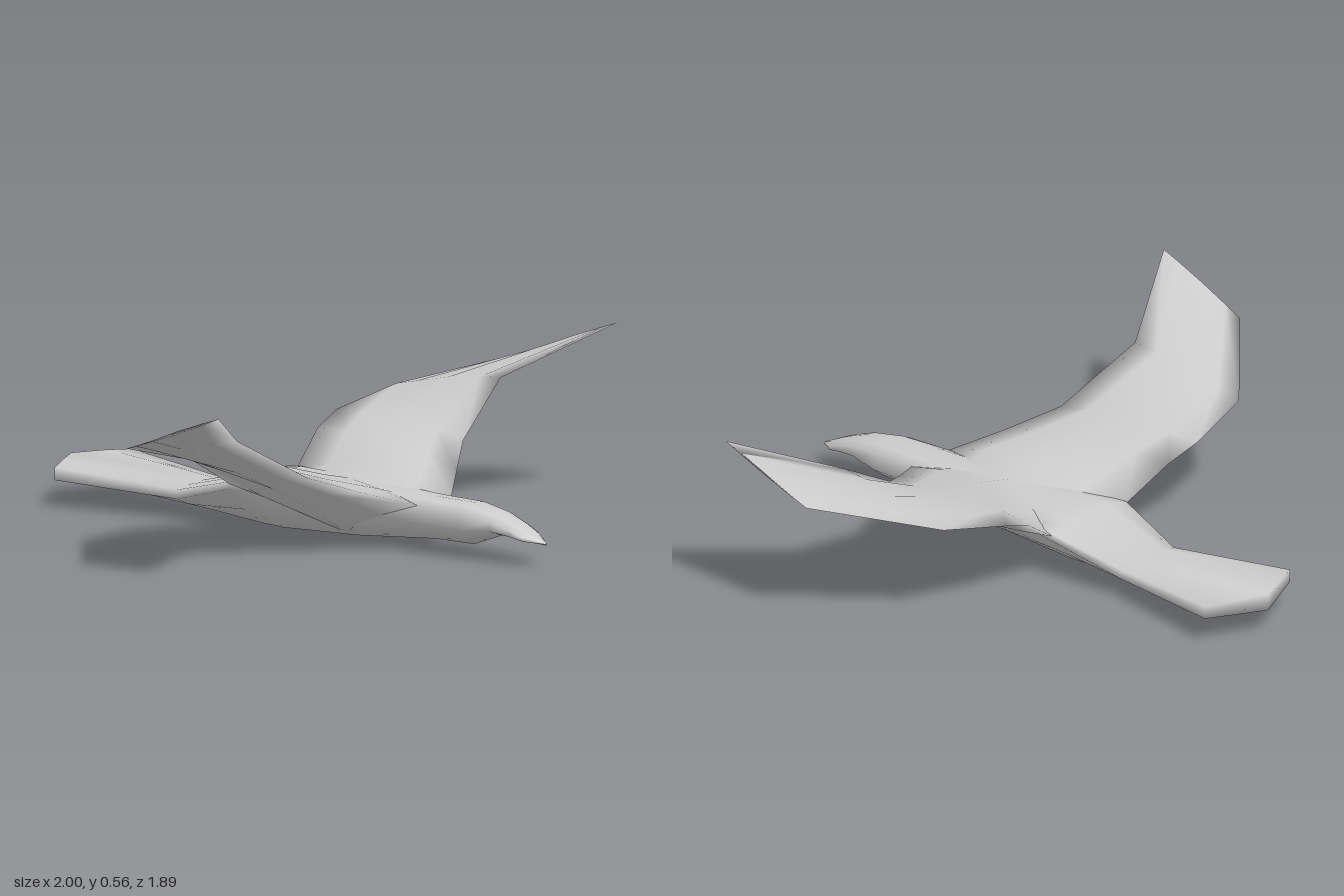
import * as THREE from 'three';

const material = new THREE.MeshStandardMaterial({ color: 0xcccccc });

// Skin a list of equal-length closed rings and cap both ends.
function loft(rings, name) {
  const n = rings[0].length, idx = [];
  for (let r = 0; r < rings.length - 1; r++)
    for (let i = 0; i < n; i++) {
      const a = r * n + i, b = r * n + (i + 1) % n;
      idx.push(a, b, a + n, b, b + n, a + n);
    }
  const last = (rings.length - 1) * n;
  for (let i = 1; i < n - 1; i++)
    idx.push(0, i + 1, i, last, last + i, last + i + 1);
  const g = new THREE.BufferGeometry();
  g.setAttribute('position', new THREE.Float32BufferAttribute(rings.flat(2), 3));
  g.setIndex(idx);
  g.computeVertexNormals();
  const mesh = new THREE.Mesh(g, material);
  mesh.name = name;
  return mesh;
}

// Keeled body section: z, half width, top, side height, bottom, side edge half height, sweep of the sides
function bodyRing([z, w, top, side, bottom, e, sweep = 0]) {
  const half = [
    [0.6, top - (top - side - e) * 0.25],
    [1, side + e],
    [1, side - e],
    [0.5, bottom + (side - e - bottom) * 0.42],
  ];
  const pt = (s) => ([k, y]) => [s * k * w, y, z + sweep * k];
  return [[0, top, z], ...half.map(pt(1)), [0, bottom, z], ...half.reverse().map(pt(-1))];
}

// Wing section: leading point, trailing point, bulge above and below the chord
function wingRing([lead, trail, up, down]) {
  const at = (t, dy) => lead.map((v, i) => v + (trail[i] - v) * t + (i === 1 ? dy : 0));
  return [
    lead, at(0.2, up * 0.6), at(0.5, up), at(0.8, up * 0.45),
    trail, at(0.8, -down * 0.45), at(0.5, -down), at(0.2, -down * 0.6),
  ];
}

export function createModel() {
  const model = new THREE.Group();
  model.name = 'bird';

  // Beak, head, neck, torso and fanned tail in one skin
  const body = [
    [0.945, 0.004, 0.08, 0.076, 0.072, 0.001],
    [0.885, 0.045, 0.11, 0.09, 0.076, 0.006],
    [0.84, 0.053, 0.13, 0.105, 0.086, 0.01],
    [0.77, 0.064, 0.157, 0.12, 0.083, 0.015],
    [0.66, 0.083, 0.175, 0.125, 0.042, 0.028],
    [0.5, 0.085, 0.176, 0.13, 0.04, 0.03],
    [0.2, 0.11, 0.188, 0.145, 0.014, 0.02],
    [-0.1, 0.15, 0.188, 0.152, 0.002, 0.015],
    [-0.18, 0.17, 0.175, 0.152, 0.006, 0.012],
    [-0.43, 0.12, 0.112, 0.085, 0.028, 0.015],
    [-0.945, 0.195, 0.137, 0.11, 0.083, 0.02, 0.088],
  ];
  model.add(loft(body.map(bodyRing), 'body'));

  // Raised wings from centre to tip, swept forward at the tips
  const wing = [
    [[0, 0.13, 0.5], [0, 0.13, -0.18], 0.062, 0.115],
    [[0.085, 0.158, 0.5], [0.17, 0.157, -0.18], 0.065, 0.072],
    [[0.24, 0.21, 0.4], [0.32, 0.255, -0.22], 0.036, 0.045],
    [[0.39, 0.268, 0.305], [0.435, 0.295, -0.235], 0.025, 0.025],
    [[0.66, 0.418, 0.24], [0.675, 0.345, -0.19], 0.012, 0.014],
    [[1, 0.565, 0.435], [0.99, 0.435, 0.1], 0.005, 0.005],
  ].map(wingRing);
  const mirrored = wing.slice(1).map((ring) => ring.map(([x, y, z]) => [-x, y, z]));
  model.add(loft([...wing.reverse(), ...mirrored], 'wings'));
  return model;
}
